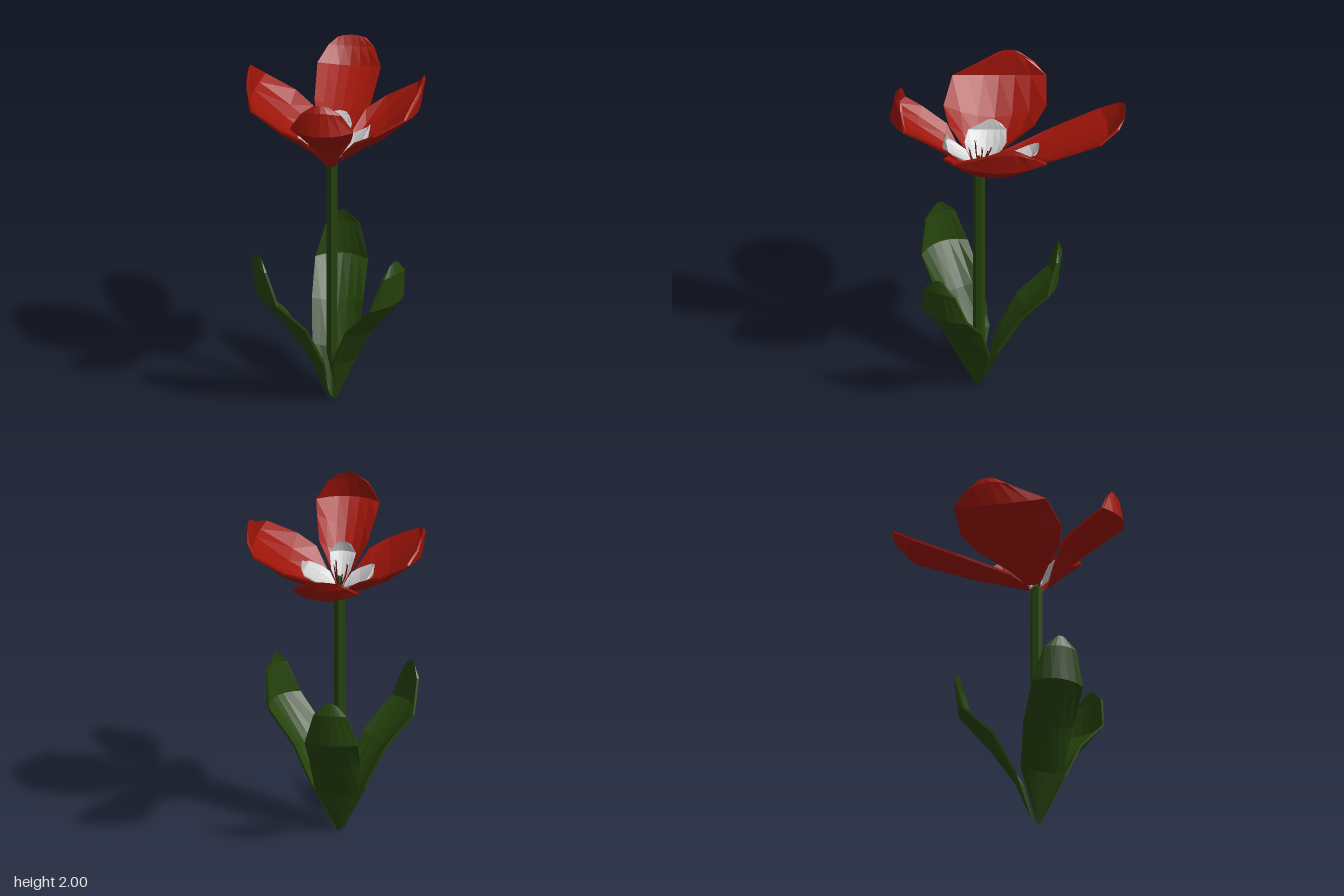
import * as THREE from 'three';

const mat = (color) => new THREE.MeshStandardMaterial({ color, flatShading: true, side: THREE.DoubleSide });
const RED = mat(0x9c1408), GREEN = mat(0x25430c), GREY = mat(0xcccccc), DARK = mat(0x5a120c);
const AXIS_Z = 0.17; // the plant's axis sits forward of centre

// Cross-section rows: [outward, height, sideways shift, half width, edge outward offset, edge height offset]
const leafRows = [
  [0.02, 0.005, 0, 0.012, 0, 0],
  [0.115, 0.27, 0, 0.125, -0.02, 0.02],
  [0.26, 0.49, 0, 0.145, -0.05, 0.03],
  [0.435, 0.71, 0, 0.15, -0.05, -0.01],
  [0.455, 0.9, 0, 0.095, -0.02, -0.01],
  [0.45, 0.97, 0, 0.04, -0.005, -0.02],
];
const sidePetalRows = [
  [0.045, 0, 0.01, 0.04, 0, 0],
  [0.08, 0.035, 0.025, 0.10, -0.01, 0.05],
  [0.17, 0.09, 0.07, 0.24, -0.02, 0.11],
  [0.29, 0.16, 0.09, 0.29, -0.03, 0.10],
  [0.475, 0.32, 0.115, 0.265, -0.045, 0.03],
  [0.49, 0.45, 0.16, 0.15, -0.015, -0.04],
  [0.495, 0.48, 0.17, 0.06, 0, -0.015],
];
const frontPetalRows = [
  [0.07, 0, 0, 0.03, 0, 0],
  [0.115, 0.05, 0, 0.06, -0.01, 0.04],
  [0.205, 0.155, 0, 0.135, -0.025, 0.07],
  [0.35, 0.265, 0, 0.165, -0.03, 0.06],
  [0.49, 0.375, 0, 0.18, -0.075, 0.005],
  [0.462, 0.5, 0, 0.115, -0.03, -0.02],
  [0.448, 0.54, 0, 0.05, -0.005, -0.01],
];
const backPetalRows = [
  [0.04, 0, 0, 0.035, 0, 0],
  [0.12, 0.035, 0, 0.085, 0, 0.03],
  [0.42, 0.15, 0, 0.16, 0, 0.035],
  [0.73, 0.27, 0, 0.18, -0.05, 0.03],
  [0.80, 0.36, 0, 0.13, -0.02, 0.01],
  [0.83, 0.415, 0, 0.08, -0.01, -0.01],
];

// Thin curved solid lofted through the rows, growing along +z
function blade(rows, shiftSign = 1) {
  const COLS = 6, LOOP = 2 * (COLS + 1), THICK = 0.014, pos = [], idx = [];
  rows.forEach(([out, y, shift, half, dOut, dY], r) => {
    const a = rows[Math.max(r - 1, 0)], b = rows[Math.min(r + 1, rows.length - 1)];
    const run = b[0] - a[0], rise = b[1] - a[1];
    // the two faces meet at both ends
    const depth = (r && r < rows.length - 1 ? THICK : 0) / Math.hypot(run, rise);
    for (let i = 0; i < LOOP; i++) {
      const under = i > COLS ? depth : 0;
      const t = ((i > COLS ? LOOP - 1 - i : i) / COLS) * 2 - 1, k = t * t;
      pos.push(shift * shiftSign + t * half, y + k * dY - under * run, out + k * dOut + under * rise);
      if (r) {
        const j = (i + 1) % LOOP, p = (r - 1) * LOOP, q = r * LOOP;
        idx.push(p + i, p + j, q + j, p + i, q + j, q + i);
      }
    }
  });
  const g = new THREE.BufferGeometry();
  g.setAttribute('position', new THREE.Float32BufferAttribute(pos, 3));
  g.setIndex(idx);
  g.computeVertexNormals();
  return g;
}

function add(parent, name, geometry, material, angle = 0) {
  const m = new THREE.Mesh(geometry, material);
  m.name = name;
  m.rotation.y = angle;
  parent.add(m);
  return m;
}

// Ring of four petals, reused small for the pale heart
function petalRing(name, material, backDrop) {
  const ring = new THREE.Group();
  ring.name = name;
  add(ring, 'frontPetal', blade(frontPetalRows), material);
  add(ring, 'backPetal', blade(backPetalRows), material, Math.PI).position.y = -backDrop;
  for (const s of [1, -1]) {
    add(ring, s > 0 ? 'leftPetal' : 'rightPetal', blade(sidePetalRows, s), material, s * Math.PI / 2);
  }
  return ring;
}

export function createModel() {
  const model = new THREE.Group();
  const plant = new THREE.Group();
  plant.name = 'flower';
  plant.position.z = AXIS_Z;
  model.add(plant);

  // Stem, narrowing where the leaves wrap it
  const stem = [[0, 0.15], [0.034, 0.3], [0.034, 1.46], [0, 1.49]];
  add(plant, 'stem', new THREE.LatheGeometry(stem.map(([x, y]) => new THREE.Vector2(x, y)), 6), GREEN);

  // Three leaves, evenly spaced
  for (let i = 0; i < 3; i++) add(plant, 'leaf', blade(leafRows), GREEN, Math.PI / 3 + i * Math.PI * 2 / 3);

  // Red petals and the pale inner petals; the inner back one dips through the red
  const outer = petalRing('outerPetals', RED, 0);
  outer.position.y = 1.465;
  const inner = petalRing('innerPetals', GREY, 0.035);
  inner.position.y = 1.475;
  inner.scale.setScalar(0.41);
  plant.add(outer, inner);

  // Pistil
  add(plant, 'pistil', new THREE.CylinderGeometry(0.008, 0.025, 0.08, 6), GREEN).position.y = 1.52;

  // Stamens: a bent filament, the longer ones with a small anther
  [[-0.045, 0.02], [0.025, 0.055], [0.025, -0.02], [-0.025, -0.07], [0.01, -0.05]].forEach(([x, z], i) => {
    const tip = new THREE.Vector3(x, i < 3 ? 1.63 : 1.6, z);
    const path = new THREE.CatmullRomCurve3([
      new THREE.Vector3(0, 1.48, 0), new THREE.Vector3(x * 0.7, 1.55, z * 0.7), tip,
    ]);
    add(plant, 'filament', new THREE.TubeGeometry(path, 5, 0.004, 5), DARK);
    if (i < 3) add(plant, 'anther', new THREE.SphereGeometry(0.009, 7, 5), GREY).position.copy(tip);
  });

  return model;
}
